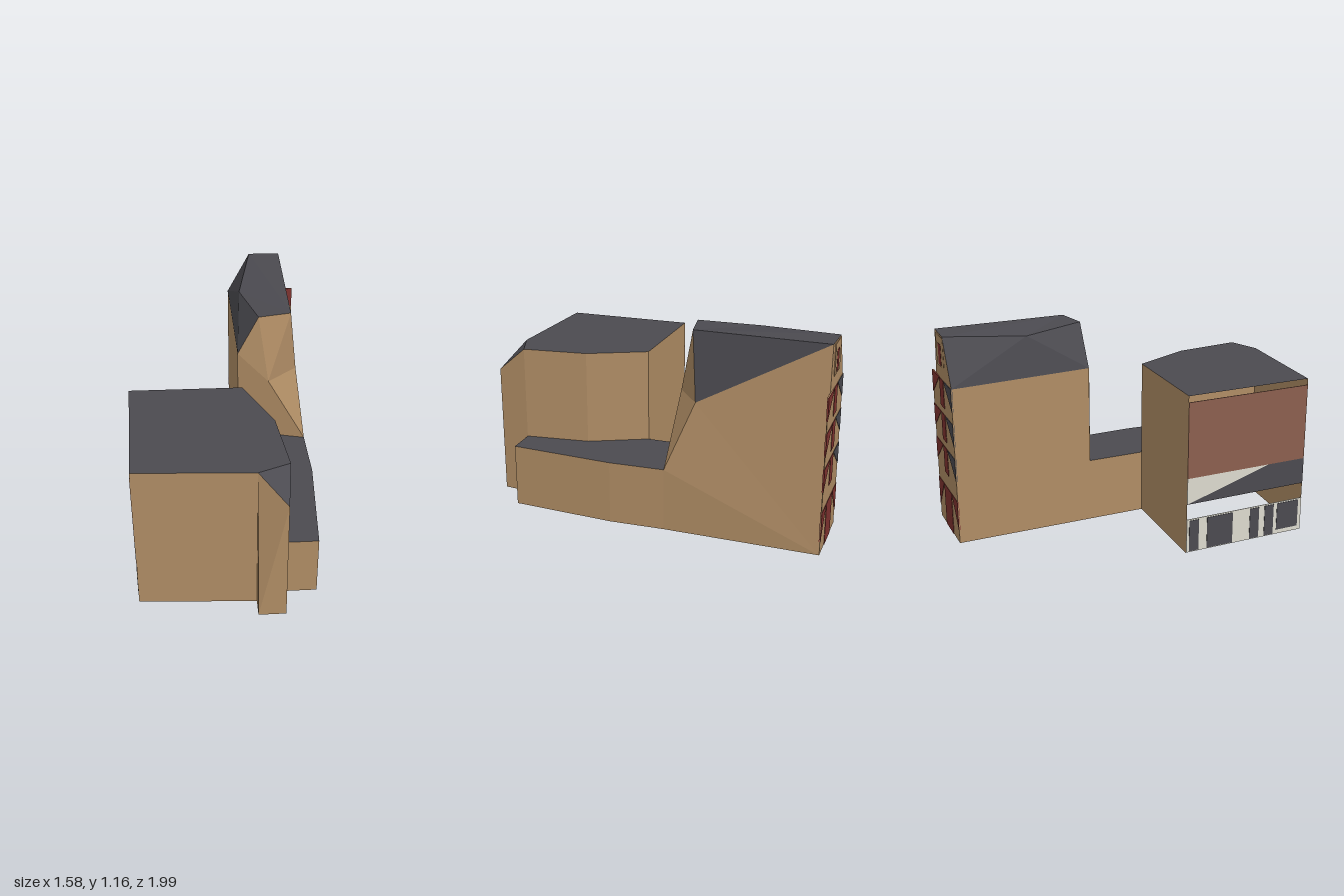
import * as THREE from 'three';

const mat = (name, color) => {
  const m = new THREE.MeshStandardMaterial({ color, side: THREE.DoubleSide });
  m.name = name;
  return m;
};

export function createModel() {
  const model = new THREE.Group();
  const brown = mat('brownWall', 0xb08d65);
  const slate = mat('slateRoof', 0x4b4a50);
  const brick = mat('brickPanel', 0x8b5f4e);
  const pale = mat('palePanel', 0xdcdace);
  const red = mat('redWindow', 0x7f3330);

  // Flat faces, each a corner loop split as a fan
  const faces = (name, material, loops) => {
    const pos = [];
    for (const l of loops)
      for (let i = 1; i < l.length - 1; i++) pos.push(...l[0], ...l[i], ...l[i + 1]);
    const g = new THREE.BufferGeometry();
    g.setAttribute('position', new THREE.Float32BufferAttribute(pos, 3));
    g.computeVertexNormals();
    const m = new THREE.Mesh(g, material);
    m.name = name;
    model.add(m);
  };
  const at = ([x, z], y) => [x, y, z];
  // Vertical walls along a plan path, bottom to height h
  const walls = (path, h) => path.slice(1).map((q, i) =>
    [at(path[i], 0), at(q, 0), at(q, h), at(path[i], h)]);

  // Plan corners
  const a = [-0.41, 0.5], b = [0.13, 0.99], c = [0.6, 0.55], d = [0.67, 0.38];
  const e = [0.37, 0.16], f = [0.03, 0.05], wing = [0.78, 0.51], foot = [0.675, 0.62];
  const s = [0.785, 0.26], h = [0.37, -0.18], n = [0.13, -0.39];
  const t = [-0.21, -0.17], west = [-0.79, -0.7], north = [-0.51, -1];
  const H = 0.905, L = 0.365;

  // Front hall: open on the panelled side
  faces('hallWalls', brown, walls([b, c], H).concat(walls([d, e, f, a], H)));
  faces('hallRoof', slate, [[b, c, d, e, f, a].map((p) => at(p, H))]);

  // Corner wing with a sloping roof
  const wTop = at(wing, 0.76);
  faces('cornerWingWalls', brown, [
    [at(c, 0), at(foot, 0), at(c, H)],
    [at(foot, 0), wTop, at(c, H)],
    [at(foot, 0), at(wing, 0), wTop],
    [at(wing, 0), at(d, 0), at(d, H), wTop],
  ]);
  faces('cornerWingRoof', slate, [[at(c, H), wTop, at(d, H)]]);

  // Low connecting block
  faces('lowBlockWalls', brown, walls([d, s, h, n], L).concat(walls([t, f], L)));
  faces('lowBlockRoof', slate, [[h, s, d, e, f, t, n].map((p) => at(p, L))]);

  // Tower with faceted roof
  const A = at(west, 0.9), E = at(t, 0.92);
  const B = [-0.7, 1.155, -0.8], C = [-0.57, 1.155, -0.93];
  const D = [-0.13, 1.158, -0.26], G = [-0.025, 1.158, -0.42];
  const P = [-0.02, 0.765, -0.47], R = [-0.04, 0.765, -0.25], Q = [-0.44, 1.135, -0.43];
  const N = at(n, L), T = at(t, L);
  faces('towerWalls', brown, [
    [at(west, 0), at(t, 0), E, A],
    [at(north, 0), at(west, 0), A, B, C],
    [at(north, 0), C, P, N, at(n, 0)],
    [D, R, G], [G, R, P], [R, N, P], [R, T, N], [E, R, D], [E, T, R],
  ]);
  faces('towerRoof', slate, [
    [G, C, B, Q, D], [A, Q, B], [A, E, Q], [E, D, Q], [G, P, C],
  ]);

  // A facade: local x runs along the wall, local z points outward
  const facade = (name, p, q) => {
    const g = new THREE.Group();
    g.name = name;
    g.position.set(p[0], 0, p[1]);
    g.rotation.y = Math.atan2(p[1] - q[1], q[0] - p[0]);
    model.add(g);
    const len = Math.hypot(q[0] - p[0], q[1] - p[1]);
    // Thin plate; corners as [fraction along wall, height]
    return (label, material, pts, depth) => {
      const shape = new THREE.Shape(pts.map(([u, y]) => new THREE.Vector2(u * len, y)));
      const geo = new THREE.ExtrudeGeometry(shape, { depth, bevelEnabled: false });
      geo.translate(0, 0, -depth / 2);
      const m = new THREE.Mesh(geo, material);
      m.name = label;
      g.add(m);
    };
  };
  const rect = (u0, u1, y0, y1) => [[u0, y0], [u1, y0], [u1, y1], [u0, y1]];

  // Shop front of the hall
  const front = facade('shopFront', a, b);
  front('upperPanel', brick, rect(0, 1, 0.44, 0.87), 0.004);
  front('signPale', pale, [[0, 0.29], [0.69, 0.44], [0, 0.44]], 0.004);
  front('signDark', slate, [[0, 0.29], [1, 0.29], [1, 0.44], [0.69, 0.44]], 0.004);
  front('groundPanel', pale, rect(0, 1, 0.005, 0.2), 0.004);
  for (const [u0, u1, y0] of [[0.02, 0.1, 0.01], [0.17, 0.39, 0.01], [0.54, 0.62, 0.01],
    [0.67, 0.75, 0.01], [0.78, 0.97, 0.03]])
    front('shopWindow', slate, rect(u0, u1, y0, 0.192), 0.008);

  // Gable facade of the tower
  const gable = facade('gableFacade', north, west);
  gable('gablePanel', brown, rect(0, 1, 0, 0.9), 0.004);
  const half = (u0, u1, y0, y1) => [[u0, y0], [u1, y1], [u0, y1]];
  const halfRight = (u0, u1, y0, y1) => [[u0, y1], [u1, y0], [u1, y1]];
  for (const y of [0.37, 0.57, 0.77]) {
    gable('leftWindow', red, half(0, 0.39, y, y + 0.13), 0.009);
    gable('middleWindow', red, rect(0.4, 0.6, y - 0.03, y + 0.13), 0.009);
    gable('rightWindow', slate, halfRight(0.61, 1, y, y + 0.13), 0.009);
  }
  gable('door', red, rect(0.31, 0.69, 0, 0.25), 0.009);
  gable('leftDoorWindow', red, half(0, 0.3, 0.08, 0.25), 0.009);
  gable('rightDoorWindow', red, halfRight(0.7, 1, 0.08, 0.25), 0.009);
  gable('atticFrame', brown, rect(0.33, 0.69, 0.97, 1.145), 0.006);
  gable('atticWindow', red, rect(0.44, 0.57, 0.98, 1.1), 0.009);

  return model;
}
